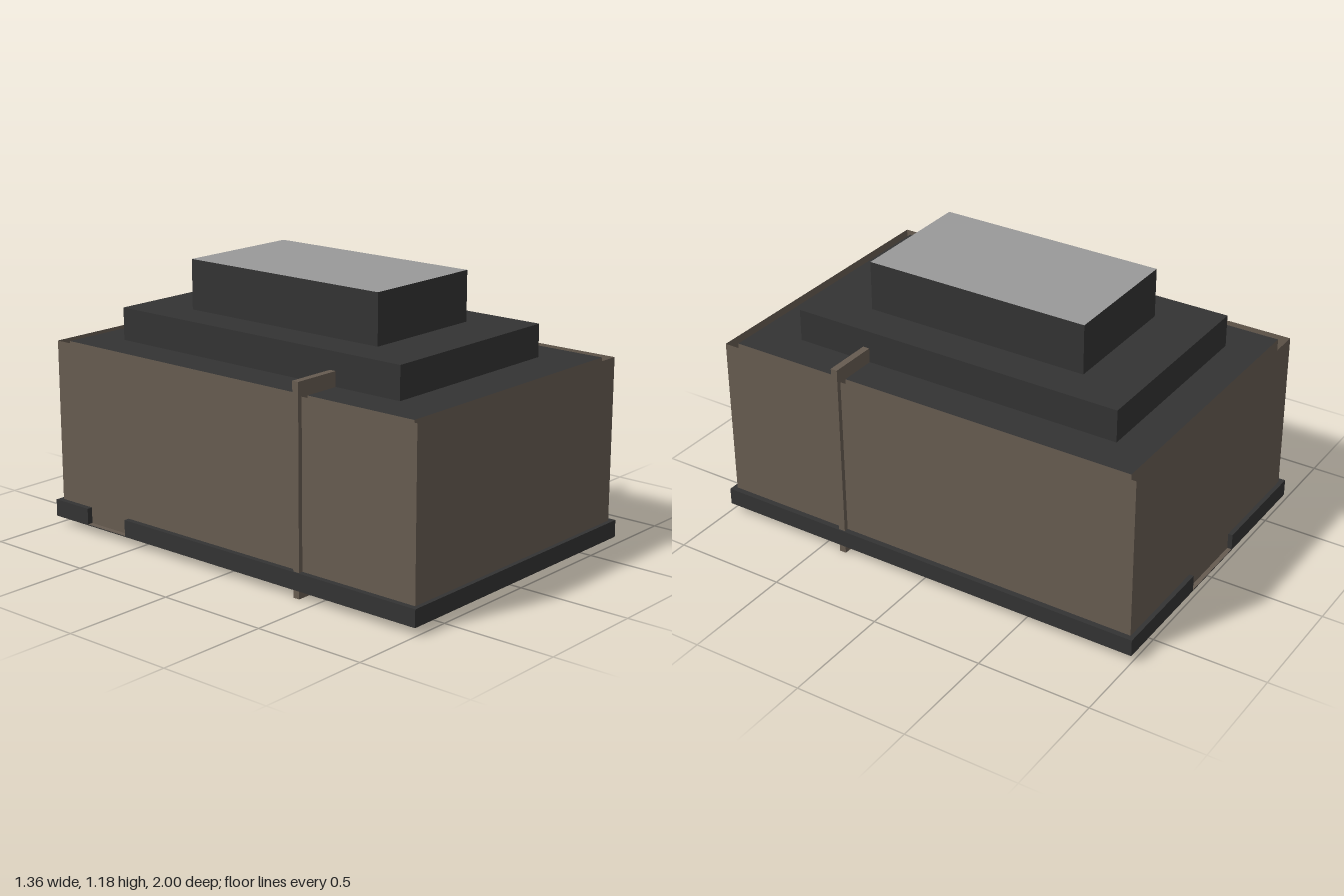
import * as THREE from 'three';

const material = (color, side = THREE.FrontSide) =>
  new THREE.MeshStandardMaterial({ color, side, flatShading: true });

const brown = material(0x665b50);
const brownShell = material(0x665b50, THREE.DoubleSide);
const dark = material(0x333333);
const grey = material(0x999999);

// Box given by its extents on each axis
function block(name, [x0, x1], [y0, y1], [z0, z1], mat) {
  const mesh = new THREE.Mesh(new THREE.BoxGeometry(x1 - x0, y1 - y0, z1 - z0), mat);
  mesh.position.set((x0 + x1) / 2, (y0 + y1) / 2, (z0 + z1) / 2);
  mesh.name = name;
  return mesh;
}

export function createModel() {
  const model = new THREE.Group();
  model.name = 'building';
  const X = 0.68, Z = 1, BASE = 0.035, SKIRT = 0.11, ROOF = 0.822;

  // Floor slab: brown on top, dark underneath and around
  const floorMaterials = [dark, dark, brown, dark, dark, dark];
  model.add(block('floor', [-X, X], [BASE, BASE + 0.004], [-Z, Z], floorMaterials));

  // Low skirt around the base, with a doorway at the back and one on the right
  const skirt = new THREE.Group();
  skirt.name = 'skirt';
  const y = [BASE + 0.002, SKIRT], inX = 0.62, inZ = 0.94;
  skirt.add(
    block('skirtFront', [-X, X], y, [inZ, Z], dark),
    block('skirtLeft', [inX, X], y, [-Z, inZ], dark),
    block('skirtRightFront', [-X, -inX], y, [-0.57, inZ], dark),
    block('skirtRightBack', [-X, -inX], y, [-Z, -0.8], dark),
    block('skirtBackRight', [-inX, -0.175], y, [-Z, -inZ], dark),
    block('skirtBackLeft', [0.17, inX], y, [-Z, -inZ], dark)
  );
  model.add(skirt);

  // Outer walls: a thin open shell
  const walls = new THREE.Group();
  walls.name = 'outerWalls';
  const wallX = 0.655, wallZ = 0.98, height = ROOF - BASE;
  for (let i = 0; i < 4; i++) {
    const alongX = i % 2 === 0;
    const wall = new THREE.Mesh(
      new THREE.PlaneGeometry(2 * (alongX ? wallX : wallZ), height), brownShell);
    const a = i * Math.PI / 2;
    wall.rotation.y = a;
    wall.position.set(Math.sin(a) * wallX, BASE + height / 2, Math.cos(a) * wallZ);
    wall.name = 'outerWall';
    walls.add(wall);
  }
  model.add(walls);

  // Inner core: brown sides with the dark roof on top
  const coreMaterials = [brown, brown, dark, dark, brown, brown];
  model.add(block('roofCore', [-0.622, 0.622], [BASE + 0.002, ROOF - 0.002], [-0.94, 0.94], coreMaterials));

  // Stepped tiers, the upper one with a light cover
  model.add(block('lowerTier', [-0.455, 0.455], [0.815, 0.962], [-0.78, 0.737], dark));
  const topMaterials = [dark, dark, grey, dark, dark, dark];
  model.add(block('upperTier', [-0.288, 0.288], [0.96, 1.18], [-0.53, 0.488], topMaterials));

  // Cross rib that stands proud of walls, roof and floor
  model.add(block('crossRib', [-0.675, 0.675], [0, 0.884], [0.385, 0.415], brown));

  // Small fitting under the floor
  const fitting = new THREE.Group();
  fitting.name = 'underFitting';
  fitting.add(
    block('fittingPlate', [-0.012, 0.012], [0.028, 0.036], [-0.012, 0.012], grey),
    block('fittingPin', [-0.006, 0.006], [0.013, 0.028], [-0.006, 0.006], grey)
  );
  model.add(fitting);

  return model;
}
